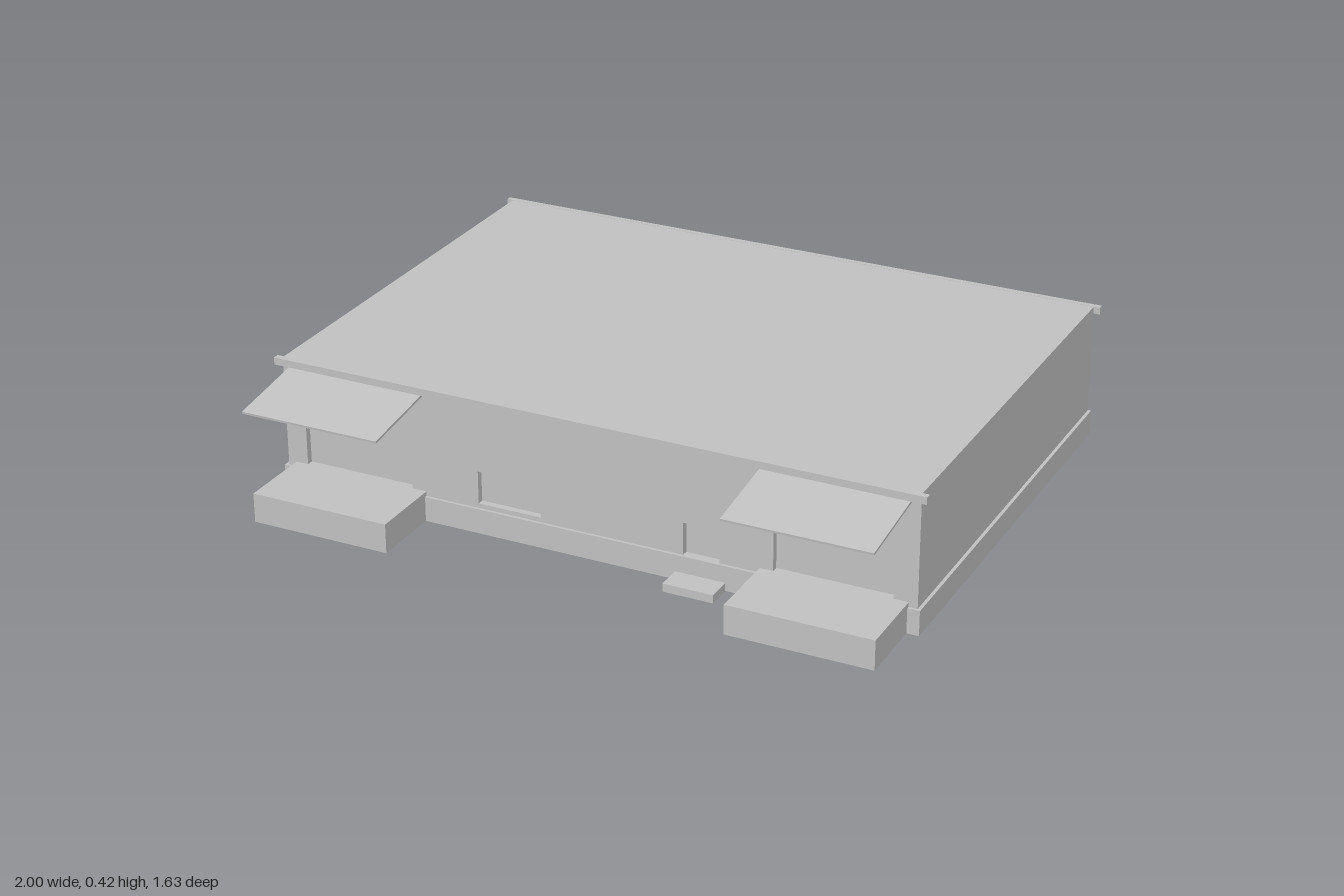
import * as THREE from 'three';

export function createModel() {
  const model = new THREE.Group();
  model.name = 'warehouse';
  const grey = new THREE.MeshStandardMaterial({ color: 0xc0c0c0 });
  grey.name = 'plain grey';

  const add = (name, geometry) => {
    const mesh = new THREE.Mesh(geometry, grey);
    mesh.name = name;
    model.add(mesh);
    return mesh;
  };
  // Box given by its extents
  const box = (name, x0, x1, y0, y1, z0, z1) => {
    const mesh = add(name, new THREE.BoxGeometry(x1 - x0, y1 - y0, z1 - z0));
    mesh.position.set((x0 + x1) / 2, (y0 + y1) / 2, (z0 + z1) / 2);
    return mesh;
  };
  const trace = (path, [x0, x1, y0, y1]) => path
    .moveTo(x0, y0).lineTo(x1, y0).lineTo(x1, y1).lineTo(x0, y1).closePath();

  const W = 0.98, H = 0.417, FRONT = 0.56, BACK = -0.8, RECESS = 0.02;

  // Wall slab with openings that stop at the core, leaving shallow recesses
  const wall = (name, z, openings) => {
    const shape = new THREE.Shape();
    trace(shape, [-W, W, 0, H]);
    for (const opening of openings) {
      const hole = new THREE.Path();
      trace(hole, opening);
      shape.holes.push(hole);
    }
    add(name, new THREE.ExtrudeGeometry(shape, { depth: RECESS, bevelEnabled: false })).position.z = z;
  };

  // Main building
  box('buildingCore', -W, W, 0, H, BACK + RECESS, FRONT - RECESS);
  wall('frontWall', FRONT - RECESS, [
    [-0.915, -0.565, 0.09, 0.37], // loading doors
    [0.56, 0.91, 0.09, 0.37],
    [-0.35, -0.15, 0.09, 0.19],   // window
    [0.29, 0.4, 0.076, 0.175],    // small door
  ]);
  wall('backWall', BACK, [[0.15, 0.345, 0.08, 0.325]]);
  box('plinth', -0.99, 0.99, 0, 0.076, -0.806, 0.569);

  // Roof edge trims along the front and back
  box('frontRoofTrim', -1, 1, 0.396, 0.418, 0.556, 0.575);
  box('backRoofTrim', -1, 1, 0.396, 0.418, -0.815, -0.798);

  // Loading docks with sloping canopies
  const run = 0.255, drop = 0.037;
  for (const [side, s] of [['right', -1], ['left', 1]]) {
    const cx = s * 0.737;
    box(side + 'LoadingDock', cx - 0.217, cx + 0.217, 0, 0.09, FRONT, 0.787);
    const canopy = add(side + 'Canopy', new THREE.BoxGeometry(0.434, 0.007, Math.hypot(run, drop)));
    canopy.position.set(cx, 0.374, FRONT + run / 2);
    canopy.rotation.x = Math.atan2(drop, run);
  }

  // Step at the small door
  box('doorStep', 0.27, 0.422, 0, 0.025, FRONT, 0.647);

  return model;
}
